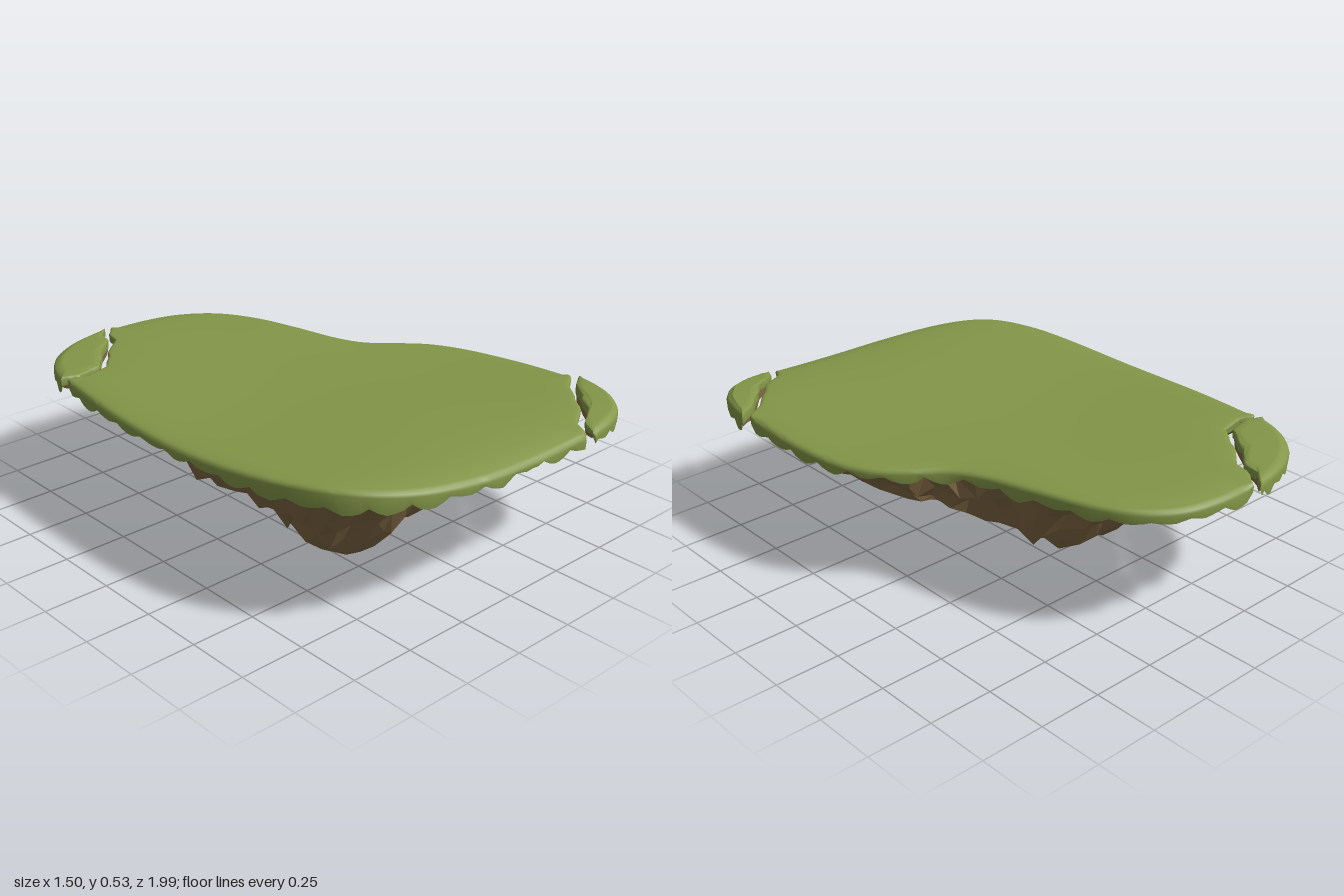
import * as THREE from 'three';
import { toCreasedNormals } from 'three/addons/utils/BufferGeometryUtils.js';

const grassMat = new THREE.MeshStandardMaterial({ color: 0x839648 });
const rockMat = new THREE.MeshStandardMaterial({ color: 0x836a45, flatShading: true });

// Repeatable noise in -1..1
const hash = (a, b = 0) => {
  const v = Math.sin(a * 127.1 + b * 311.7 + 4.3) * 43758.5453;
  return (v - Math.floor(v)) * 2 - 1;
};

// Linear interpolation in a short list of [position, value]
function lookup(list, v) {
  if (v <= list[0][0]) return list[0][1];
  for (let i = 1; i < list.length; i++) {
    const [a, ya] = list[i - 1], [b, yb] = list[i];
    if (v <= b) return ya + (yb - ya) * (v - a) / (b - a);
  }
  return list[list.length - 1][1];
}

// Lowest rock height along x, along z, and from centre to edge
const depthX = [[-0.68, 0.47], [-0.5, 0.29], [-0.42, 0.21], [-0.37, 0.11], [-0.31, 0.05], [-0.2, 0.015], [-0.1, 0.05],
  [-0.02, 0.12], [0.1, 0.09], [0.2, 0.16], [0.3, 0.22], [0.4, 0.27], [0.49, 0.27], [0.54, 0.35], [0.65, 0.44], [0.7, 0.47]];
const depthZ = [[-0.9, 0.47], [-0.8, 0.455], [-0.7, 0.42], [-0.62, 0.33], [-0.57, 0.3], [-0.5, 0.2], [-0.4, 0.12],
  [-0.3, 0.06], [-0.2, 0.1], [0, 0.13], [0.1, 0.08], [0.2, 0.11], [0.25, 0.03], [0.44, 0], [0.5, 0.07], [0.55, 0.19],
  [0.6, 0.27], [0.7, 0.36], [0.8, 0.42], [0.95, 0.47]];
const depthEdge = [[0, 0], [0.42, 0], [0.5, 0.08], [0.6, 0.2], [0.7, 0.3], [0.8, 0.38], [0.9, 0.44], [1, 0.475]];

function rockHeight(x, z, s) {
  const fx = lookup(depthX, x), fz = lookup(depthZ, z);
  const box = Math.max(fx, fz), round = 0.47 - (0.47 - fx) * (0.47 - fz) / 0.47;
  return Math.max(box * 0.6 + round * 0.4, lookup(depthEdge, s));
}

// Gently rolling ground, dipping along the front
const ground = (x, z) => 0.515 - 0.008 * Math.cos(4.2 * z) + 0.08 * x * x * (1 - 0.8 * x) * Math.max(0, z) ** 2
  - 0.25 * Math.max(0, z - 0.72) ** 2 + 0.002 * Math.sin(6 * x + 3 * z);

const vecs = list => list.map(([x, z]) => new THREE.Vector2(x, z));
const arc = list => new THREE.SplineCurve(vecs(list)).getPoints(60);
const shifted = (list, d) => vecs(list.map(([x, z]) => [x + d, z + d]));
const loopPoints = (outline, n) => new THREE.Shape(outline).getSpacedPoints(n).slice(0, n);

// Jagged cracks that split off two corners
const frontCrack = [[0.735, 0.655], [0.66, 0.7], [0.6, 0.775], [0.57, 0.8], [0.53, 0.86], [0.43, 0.92], [0.405, 0.975]];
const backCrack = [[-0.7, -0.645], [-0.64, -0.623], [-0.53, -0.648], [-0.5, -0.69], [-0.46, -0.73], [-0.44, -0.77],
  [-0.34, -0.86], [-0.325, -0.93], [-0.275, -0.98]];
const crackPoints = [frontCrack, backCrack].flatMap(c => new THREE.Path(vecs(c)).getSpacedPoints(40));
const nearCrack = p => crackPoints.some(c => c.distanceTo(p) < 0.022);

function indexed(points, index) {
  const geo = new THREE.BufferGeometry();
  geo.setAttribute('position', new THREE.Float32BufferAttribute(points.flat(), 3));
  geo.setIndex(index);
  return geo;
}

// Skin between closed loops, running from the top centre outward, down and inward
function loft(rings) {
  const n = rings[0].length, index = [];
  for (let k = 0; k < rings.length - 1; k++) {
    for (let i = 0; i < n; i++) {
      const a = k * n + i, b = k * n + (i + 1) % n;
      index.push(a, b, a + n, b, b + n, a + n);
    }
  }
  return indexed(rings.flat(), index);
}

// Grass layer: rolling top, narrow rounded rim and a scalloped fringe, short along the cracks
function grass(outline, centre, n) {
  const pts = loopPoints(outline, n), short = pts.map(nearCrack);
  const ring = (s, inset, height) => pts.map((p, i) => {
    const d = p.clone().sub(centre), r = d.length();
    d.multiplyScalar(s * (r - inset) / r).add(centre);
    return [d.x, height(ground(d.x, d.y), i), d.y];
  });
  const fringe = i => {
    if (short[i]) return 0.487 + 0.004 * hash(i, 5);
    const drop = Math.abs(Math.sin(Math.PI * i / 5));
    return 0.474 - drop * (0.021 + 0.011 * hash(Math.floor(i / 5))) + 0.003 * hash(i, 2);
  };
  const rings = [0, 0.2, 0.4, 0.6, 0.8, 0.92].map(s => ring(s, 0.025, y => y));
  rings.push(
    ring(1, 0.025, (y, i) => y - (short[i] ? 0.002 : 0.005)),
    ring(1, 0.012, (y, i) => y - (short[i] ? 0.003 : 0.009)),
    ring(1, 0.004, (y, i) => y - (short[i] ? 0.005 : 0.015)),
    ring(1, 0, (y, i) => y - (short[i] ? 0.01 : 0.025)),
    ring(1, 0.002, (y, i) => fringe(i)),
    ring(1, 0.008, (y, i) => fringe(i) + 0.004),
    ring(1, 0.022, () => 0.493));
  return new THREE.Mesh(toCreasedNormals(loft(rings), 0.7), grassMat);
}

// Rock underside: a square grid wrapped into the outline, so facets stay blocky to the middle
function rock(outline, centre, levels) {
  const K = levels.length - 1, W = 2 * K + 1;
  const pts = loopPoints(outline, 8 * K), verts = [], index = [];
  for (let b = -K; b <= K; b++) {
    for (let a = -K; a <= K; a++) {
      const m = Math.max(Math.abs(a), Math.abs(b)), s = levels[m];
      let t = 0;
      if (m > 0) t = a === m ? b / m : b === m ? 2 - a / m : a === -m ? 4 - b / m : 6 + a / m;
      const u = ((t + 8) % 8) * K, i = Math.floor(u + 1e-6);
      const edge = pts[i % (8 * K)].clone().lerp(pts[(i + 1) % (8 * K)], Math.max(0, u - i));
      const crack = nearCrack(edge), d = edge.clone().sub(centre), r = d.length();
      const rough = m > K - 2 ? 0 : Math.min(1, r * 1.6);
      d.multiplyScalar(s * (r - (crack ? 0.004 : 0.012)) / r).add(centre);
      const x = d.x + 0.022 * rough * hash(a, b), z = d.y + 0.022 * rough * hash(b, a + 40);
      const y = m === K ? (crack ? 0.502 : 0.49)
        : Math.min(0.474, Math.max(0, rockHeight(x, z, s) + 0.028 * rough * hash(a + 60, b)));
      verts.push([x, y, z]);
      if (a < K && b < K) {
        const p = (b + K) * W + a + K;
        // Diagonals follow the slope so that both halves of a block read as one
        if (a * b >= 0) index.push(p, p + 1, p + W + 1, p, p + W + 1, p + W);
        else index.push(p, p + 1, p + W, p + 1, p + W + 1, p + W);
      }
    }
  }
  const geo = indexed(verts, index);
  geo.computeVertexNormals();
  return new THREE.Mesh(geo, rockMat);
}

export function createModel() {
  const model = new THREE.Group();
  model.name = 'floatingIsland';
  const gap = 0.009;

  const mainOutline = [
    ...arc([[-0.26, -0.985], [-0.1, -0.98], [0.05, -0.945], [0.18, -0.85], [0.27, -0.69], [0.33, -0.49], [0.38, -0.3],
      [0.44, -0.18], [0.55, -0.08], [0.64, 0.02], [0.7, 0.17], [0.73, 0.4], [0.73, 0.64]]),
    ...shifted(frontCrack, -gap),
    ...arc([[0.39, 0.987], [0.1, 0.985], [-0.15, 0.97], [-0.4, 0.91], [-0.58, 0.79], [-0.68, 0.6], [-0.73, 0.35],
      [-0.748, 0.05], [-0.74, -0.3], [-0.705, -0.635]]),
    ...shifted(backCrack, gap)];
  const frontOutline = [
    ...arc([[0.748, 0.663], [0.73, 0.76], [0.7, 0.85], [0.63, 0.935], [0.53, 0.98], [0.415, 0.998]]),
    ...shifted(frontCrack, gap).reverse()];
  const backOutline = [
    ...arc([[-0.715, -0.657], [-0.67, -0.78], [-0.58, -0.89], [-0.45, -0.96], [-0.28, -1]]),
    ...shifted(backCrack, -gap).reverse()];

  const mainLevels = [0, 0.09, 0.18, 0.27, 0.35, 0.43, 0.51, 0.59, 0.67, 0.75, 0.85, 0.96, 1];
  const chunkLevels = [0, 0.4, 0.75, 0.95, 1];
  const pieces = [
    ['main', mainOutline, [-0.13, 0.06], 200, mainLevels],
    ['frontCorner', frontOutline, [0.62, 0.85], 60, chunkLevels],
    ['backCorner', backOutline, [-0.5, -0.81], 75, chunkLevels]];

  for (const [name, outline, [cx, cz], nGrass, levels] of pieces) {
    const piece = new THREE.Group();
    piece.name = name + 'Piece';
    const centre = new THREE.Vector2(cx, cz);
    const top = grass(outline, centre, nGrass);
    top.name = name + 'Grass';
    const base = rock(outline, centre, levels);
    base.name = name + 'Rock';
    piece.add(top, base);
    model.add(piece);
  }
  return model;
}
